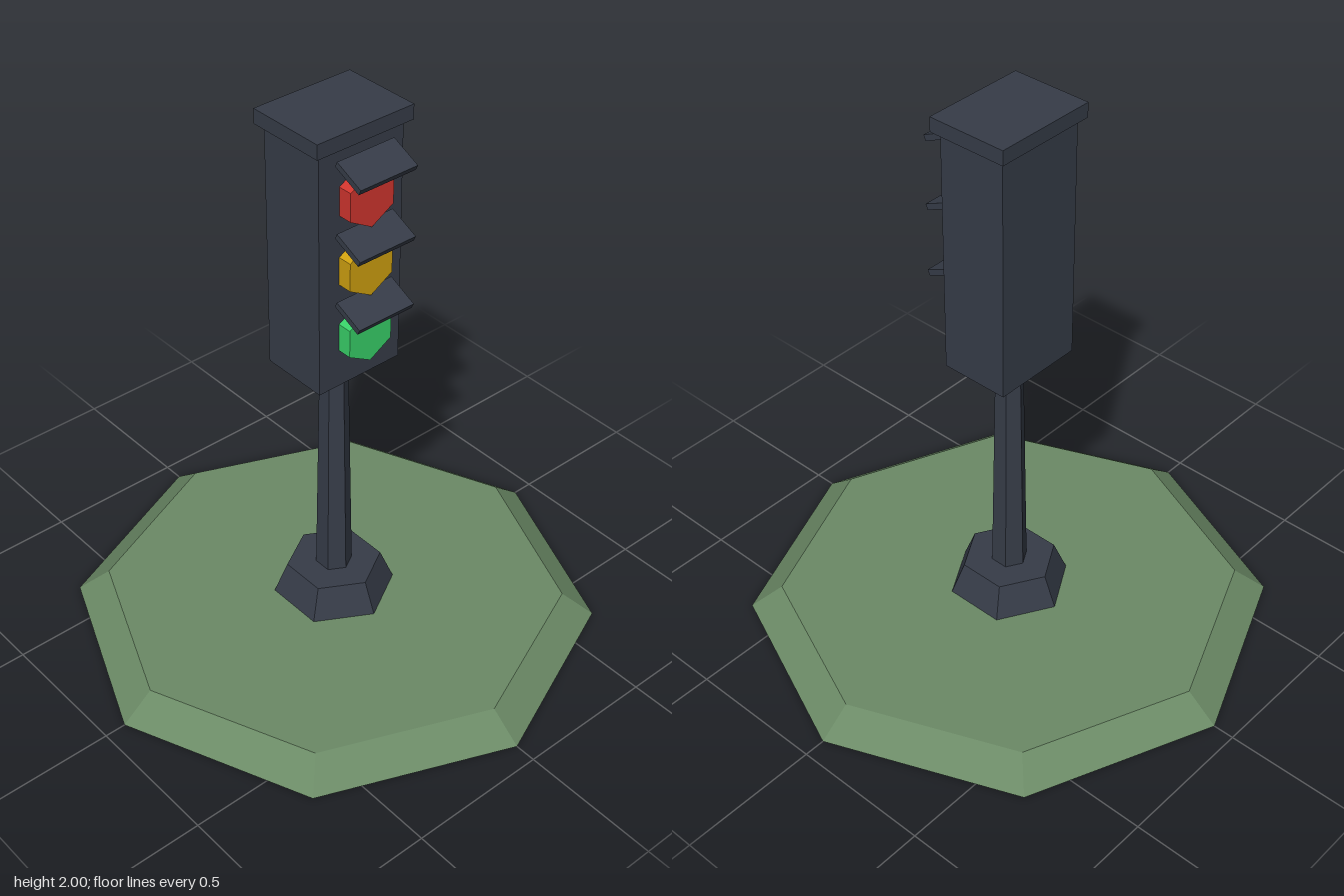
import * as THREE from 'three';

const mat = (name, color) => {
  const m = new THREE.MeshStandardMaterial({ color, flatShading: true });
  m.name = name;
  return m;
};

export function createModel() {
  const model = new THREE.Group();
  model.name = 'trafficLight';

  const grass = mat('grass green', 0x6b8a66);
  const metal = mat('dark slate', 0x363c48);
  const red = mat('signal red', 0xd0352e);
  const amber = mat('signal amber', 0xcfa010);
  const green = mat('signal green', 0x38d068);

  const add = (name, geometry, material, x, y, z) => {
    const mesh = new THREE.Mesh(geometry, material);
    mesh.name = name;
    mesh.position.set(x, y, z);
    model.add(mesh);
    return mesh;
  };
  // Faceted cylinder standing between two heights
  const column = (name, rTop, rBottom, y0, y1, sides, material) =>
    add(name, new THREE.CylinderGeometry(rTop, rBottom, y1 - y0, sides), material, 0, (y0 + y1) / 2, 0);

  // Ground, foot and tapering post
  column('groundPlate', 0.812, 0.925, 0, 0.088, 8, grass);
  column('foot', 0.167, 0.215, 0.086, 0.203, 6, metal);
  column('post', 0.048, 0.064, 0.2, 1.09, 6, metal);

  // Signal housing and cap
  add('housing', new THREE.BoxGeometry(0.336, 0.875, 0.25), metal, 0, 1.515, 0);
  add('cap', new THREE.BoxGeometry(0.38, 0.052, 0.292), metal, 0, 1.974, 0);

  // Three hexagonal lamps, each under a sloping visor
  [['red', red], ['amber', amber], ['green', green]].forEach(([name, material], i) => {
    const y = 1.761 - i * 0.248;
    const lamp = add(name + 'Lamp', new THREE.CylinderGeometry(0.1, 0.1, 0.06, 6), material, 0, y, 0.146);
    lamp.rotation.x = Math.PI / 2;
    const visor = add(name + 'Visor', new THREE.BoxGeometry(0.226, 0.021, 0.117), metal, 0, y + 0.119, 0.193);
    visor.rotation.x = 0.44;
  });

  return model;
}
